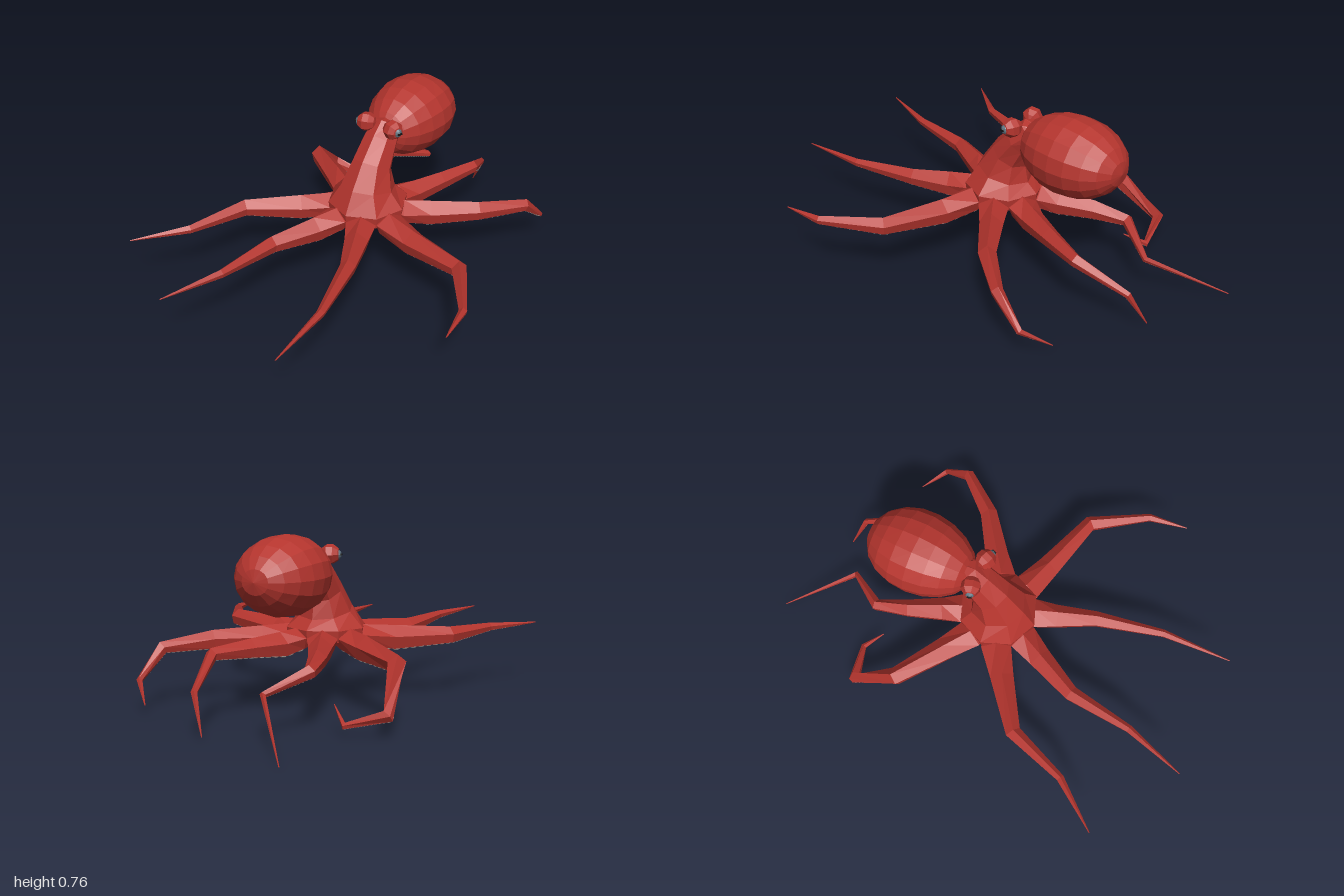
import * as THREE from 'three';
import { mergeGeometries } from 'three/addons/utils/BufferGeometryUtils.js';

const V = (x, y, z) => new THREE.Vector3(x, y, z);
const skin = new THREE.MeshStandardMaterial({ color: 0xb5352e, flatShading: true });
const suckerMat = new THREE.MeshStandardMaterial({ color: 0x9a8f8c, flatShading: true, side: THREE.DoubleSide });
const eyeMat = new THREE.MeshStandardMaterial({ color: 0x5f7480, flatShading: true });
const pupilMat = new THREE.MeshStandardMaterial({ color: 0x151515, flatShading: true });

const CX = -0.02, CZ = -0.0225; // hub centre

function add(parent, name, geometry, material) {
  const mesh = new THREE.Mesh(geometry, material);
  mesh.name = name;
  parent.add(mesh);
  return mesh;
}

// Skin over closed rings that run counter-clockwise about the travel direction
function loft(rings) {
  const pos = [];
  const n = rings[0].length;
  for (let i = 0; i < rings.length - 1; i++) {
    for (let j = 0; j < n; j++) {
      const k = (j + 1) % n;
      const a = rings[i][j], b = rings[i][k], c = rings[i + 1][k], d = rings[i + 1][j];
      for (const p of [a, b, c, a, c, d]) pos.push(p.x, p.y, p.z);
    }
  }
  const g = new THREE.BufferGeometry();
  g.setAttribute('position', new THREE.Float32BufferAttribute(pos, 3));
  g.computeVertexNormals();
  return g;
}

// Hub and neck: octagons given by front z, front y, back z, back y, half width
function bodyGeometry() {
  const sections = [
    [CZ + 0.002, 0.275, CZ - 0.002, 0.275, 0.002],
    [0.15, 0.285, -0.195, 0.285, 0.175],
    [0.155, 0.335, -0.2, 0.335, 0.18],
    [0.1, 0.43, -0.15, 0.375, 0.12],
    [0.02, 0.54, -0.135, 0.45, 0.09],
    [-0.07, 0.63, -0.17, 0.53, 0.08],
    [-0.13, 0.68, -0.25, 0.6, 0.06],
    [-0.2, 0.67, -0.26, 0.62, 0.01],
  ];
  return loft(sections.map(([fz, fy, bz, by, w]) => Array.from({ length: 8 }, (_, k) => {
    const a = k * Math.PI / 4, f = (1 + Math.cos(a)) / 2;
    return V(CX + w * Math.sin(a), by + (fy - by) * f, bz + (fz - bz) * f);
  })));
}

// Ridged five-sided arm cross-section: across, up
const SECTION = [[0, 0.5], [-0.5, 0.05], [-0.38, -0.5], [0.38, -0.5], [0.5, 0.05]];

// Rings along an arm: hub root, swollen base, then joints tapering to the tip
function armRings(joints, angle) {
  const root = r => V(CX + r * Math.sin(angle), 0.298, CZ + r * Math.cos(angle));
  const bends = joints.map(j => V(...j));
  const swell = root(0.165).lerp(bends[0], 0.35).setY(0.283);
  const p = [root(0.1), root(0.165), swell, ...bends];
  const taper = bends.map((_, i) => 0.004 + 0.1 * (1 - (i + 1) / bends.length) ** 1.1);
  const widths = [0.08, 0.134, 0.104, ...taper];
  const heights = [0.07, 0.085, 0.1, ...taper];
  return p.map((point, i) => {
    const t = V(0, 0, 0);
    if (i > 0) t.add(point.clone().sub(p[i - 1]).normalize());
    if (i < p.length - 1) t.add(p[i + 1].clone().sub(point).normalize());
    t.normalize();
    const side = V(0, 1, 0).cross(t).normalize();
    const up = t.clone().cross(side);
    return SECTION.map(([s, n]) =>
      point.clone().addScaledVector(side, s * widths[i]).addScaledVector(up, n * heights[i]));
  });
}

// Two rows of shrinking cups along the flat underside
function suckerGeometry(rings) {
  const cup = new THREE.LatheGeometry(
    [[1, -0.2], [1, 0.35], [0.75, 0.55], [0.5, 0.4], [0, 0.1]].map(q => new THREE.Vector2(...q)), 8);
  const cups = [];
  for (let i = 1; i < rings.length - 1; i++) {
    const [a, b, c, d] = [rings[i][2], rings[i][3], rings[i + 1][2], rings[i + 1][3]];
    const length = a.clone().add(b).distanceTo(c.clone().add(d)) / 2;
    let s = 0.01;
    while (s < length) {
      const l = a.clone().lerp(c, s / length), r = b.clone().lerp(d, s / length);
      const across = r.clone().sub(l);
      const radius = across.length() * 0.21;
      if (radius < 0.0022) break;
      const out = across.clone().cross(c.clone().sub(a)).normalize();
      const q = new THREE.Quaternion().setFromUnitVectors(V(0, 1, 0), out);
      for (const f of [0.25, 0.75]) {
        const m = new THREE.Matrix4().compose(l.clone().lerp(r, f), q, V(radius, radius * 0.8, radius));
        cups.push(cup.clone().applyMatrix4(m));
      }
      s += radius * 2.4;
    }
  }
  return mergeGeometries(cups);
}

// Arm bends and tip, going round from the front towards +x
const ARMS = {
  frontLeftArm: [[0.15, 0.28, 0.385], [0.225, 0.272, 0.685], [0.24, 0.265, 1]],
  sideFrontLeftArm: [[0.555, 0.302, 0.165], [0.705, 0.303, 0.4], [0.73, 0.305, 0.575]],
  sideBackLeftArm: [[0.4, 0.28, -0.285], [0.545, 0.26, -0.465], [0.565, 0.14, -0.6], [0.47, 0.06, -0.69]],
  backLeftArm: [[0.135, 0.285, -0.4], [0.205, 0.285, -0.59], [0.14, 0.18, -0.81], [0.07, 0.022, -0.865]],
  backRightArm: [[-0.18, 0.27, -0.4], [-0.225, 0.25, -0.545], [-0.115, 0.18, -0.72], [-0.35, 0.004, -1]],
  sideBackRightArm: [[-0.49, 0.265, -0.305], [-0.54, 0.1, -0.505], [-0.38, 0.05, -0.55], [-0.3, 0.11, -0.48]],
  sideFrontRightArm: [[-0.485, 0.285, 0.28], [-0.575, 0.285, 0.55], [-0.73, 0.285, 0.76]],
  frontRightArm: [[-0.215, 0.28, 0.43], [-0.25, 0.292, 0.725], [-0.335, 0.3, 1]],
};

export function createModel() {
  const model = new THREE.Group();
  model.name = 'octopus';
  add(model, 'hubAndNeck', bodyGeometry(), skin);

  // Mantle: faceted egg, slightly narrower at the front
  const mantle = new THREE.SphereGeometry(1, 16, 10).rotateX(Math.PI / 2);
  const p = mantle.attributes.position;
  for (let i = 0; i < p.count; i++) {
    const z = p.getZ(i);
    p.setXYZ(i, p.getX(i) * 0.183 * (1 - 0.08 * z), p.getY(i) * 0.17, z * 0.25);
  }
  mantle.computeVertexNormals();
  add(model, 'mantle', mantle, skin).position.set(CX - 0.005, 0.595, -0.385);

  // Eyes: faceted bulges looking outwards
  for (const s of [-1, 1]) {
    const eye = new THREE.Group();
    eye.name = s > 0 ? 'leftEye' : 'rightEye';
    eye.position.set(CX + s * 0.068, 0.66, -0.115);
    eye.rotation.y = s * 1.25;
    add(eye, 'eyelid', new THREE.SphereGeometry(0.045, 7, 5).rotateX(Math.PI / 2), skin);
    add(eye, 'eyeball', new THREE.SphereGeometry(0.022, 8, 6), eyeMat).position.z = 0.029;
    add(eye, 'pupil', new THREE.BoxGeometry(0.02, 0.007, 0.008), pupilMat).position.z = 0.049;
    model.add(eye);
  }

  // Arms, each rooted in one face of the hub
  Object.entries(ARMS).forEach(([name, joints], i) => {
    const rings = armRings(joints, (i + 0.5) * Math.PI / 4);
    const arm = new THREE.Group();
    arm.name = name;
    add(arm, 'limb', loft(rings), skin);
    add(arm, 'suckers', suckerGeometry(rings), suckerMat);
    model.add(arm);
  });
  return model;
}
